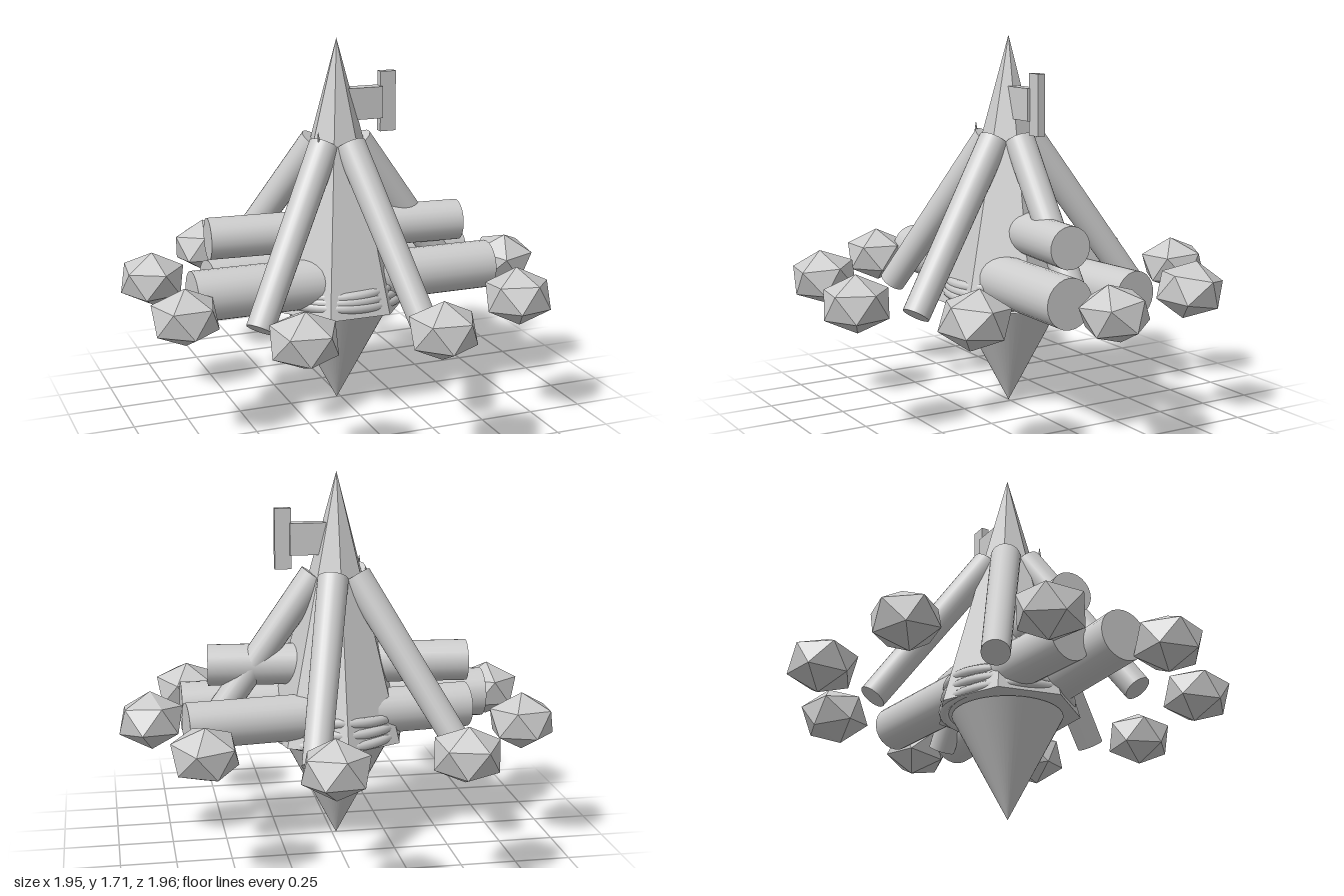
import * as THREE from 'three';

export function createModel() {
  const model = new THREE.Group();
  model.name = 'campfire';
  const grey = new THREE.MeshStandardMaterial({ color: 0xcccccc });
  grey.name = 'pale grey';
  const CX = -0.02; // axis of the fire

  function add(name, geometry, x = 0, y = 0, z = 0) {
    const mesh = new THREE.Mesh(geometry, grey);
    mesh.name = name;
    mesh.position.set(x, y, z);
    model.add(mesh);
    return mesh;
  }

  // Round bar running from point a to point b
  function bar(name, a, b, rA, rB, sides = 24) {
    const from = new THREE.Vector3(...a), to = new THREE.Vector3(...b);
    const dir = to.clone().sub(from);
    const mesh = add(name, new THREE.CylinderGeometry(rB, rA, dir.length(), sides));
    mesh.position.copy(from).add(to).multiplyScalar(0.5);
    mesh.quaternion.setFromUnitVectors(new THREE.Vector3(0, 1, 0), dir.normalize());
    return mesh;
  }

  function flat(geometry) {
    const g = geometry.toNonIndexed();
    g.computeVertexNormals();
    return g;
  }

  let seed = 7;
  const random = () => (seed = (seed * 16807) % 2147483647) / 2147483647;

  // Seven-sided faceted flame
  add('flame', flat(new THREE.ConeGeometry(0.33, 1.22, 7)), CX, 1.1, 0).rotation.y = Math.PI;

  // Smooth cone pointing down
  add('lowerCone', new THREE.ConeGeometry(0.25, 0.48, 48), CX, 0.24, 0).rotation.x = Math.PI;

  // Three lying logs
  bar('upperLog', [-0.62, 0.83, -0.05], [0.57, 0.83, 0.045], 0.095, 0.095);
  bar('frontLog', [-0.745, 0.625, 0.125], [0.69, 0.62, 0.125], 0.115, 0.112);
  bar('backLog', [-0.62, 0.62, -0.06], [0.69, 0.62, -0.21], 0.105, 0.105);

  // Five leaning poles
  for (let i = 0; i < 5; i++) {
    const a = (i / 5) * Math.PI * 2, c = Math.cos(a), s = Math.sin(a);
    bar('leaningPole', [CX + 0.61 * c, 0.52, 0.61 * s], [CX + 0.1 * c, 1.24, 0.1 * s], 0.062, 0.07);
  }

  // Rope coils around the base
  [0.52, 0.56, 0.6].forEach((y, i) => {
    const ring = add('ropeCoil', new THREE.TorusGeometry(0.285 - i * 0.008, 0.024, 10, 48), CX, y, 0);
    ring.rotation.set(Math.PI / 2 + 0.05 * (i - 1), 0.04 * (i - 1), 0);
  });

  // Ring of nine squashed stones, each slightly tipped
  for (let i = 0; i < 9; i++) {
    const a = (i / 9) * Math.PI * 2;
    const g = new THREE.IcosahedronGeometry(0.162, 0);
    g.rotateZ(Math.atan(2 / (1 + Math.sqrt(5)))); // one corner straight up
    g.rotateY(random() * Math.PI * 2);
    g.rotateX((random() - 0.5) * 0.5);
    g.scale(1, 0.8, 1);
    add('stone', g, CX + 0.855 * Math.cos(a), 0.595, 0.855 * Math.sin(a));
  }

  // Side arm with upright end plate
  add('sideArm', new THREE.BoxGeometry(0.17, 0.145, 0.06), 0.11, 1.41, 0);
  add('endPlate', new THREE.BoxGeometry(0.075, 0.275, 0.036), 0.225, 1.412, 0);

  // Small splinter between the poles
  bar('splinter', [-0.14, 1.18, 0.1], [-0.145, 1.31, 0.1], 0.022, 0.001, 8);

  return model;
}
